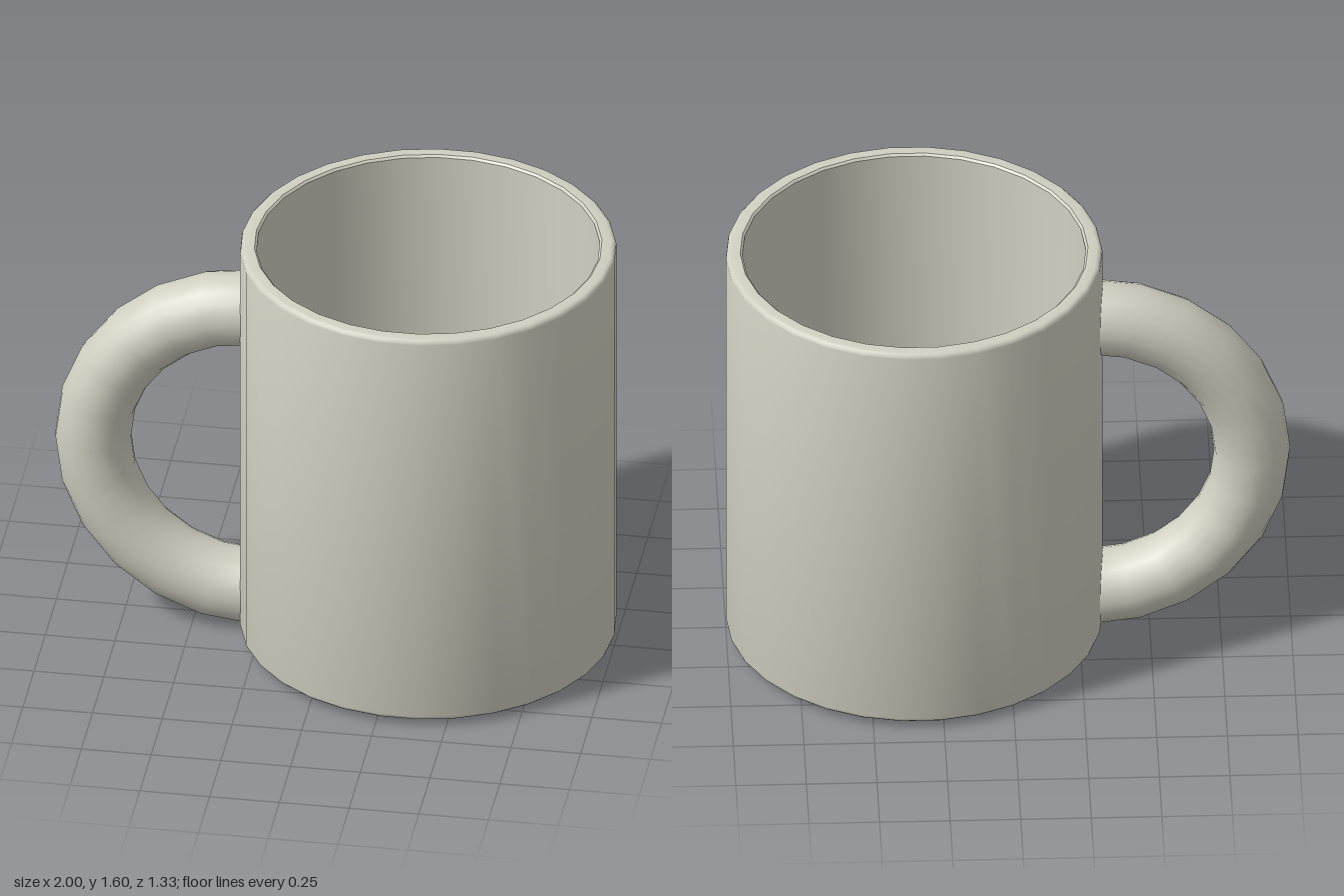
import * as THREE from 'three';
import { toCreasedNormals } from 'three/addons/utils/BufferGeometryUtils.js';

const SIDES = 30;
const OUTER = 0.667, INNER = 0.608, BOTTOM = 0.03, TOP = 1.6, FLOOR = 0.09;

// Rounded corner points, sweeping the angle from a0 to a1 (degrees)
function corner(cx, cy, r, a0, a1, steps = 3) {
  const pts = [];
  for (let i = 0; i <= steps; i++) {
    const a = THREE.MathUtils.degToRad(a0 + ((a1 - a0) * i) / steps);
    pts.push(new THREE.Vector2(cx + r * Math.cos(a), cy + r * Math.sin(a)));
  }
  return pts;
}

export function createModel() {
  const ceramic = new THREE.MeshStandardMaterial({ color: 0xd0d0c2 });
  ceramic.name = 'ceramic';
  const model = new THREE.Group();
  model.name = 'mug';

  function add(parent, name, geometry, x, y, z) {
    const mesh = new THREE.Mesh(geometry, ceramic);
    mesh.name = name;
    mesh.position.set(x, y, z);
    parent.add(mesh);
    return mesh;
  }

  // Body: hollow wall with softened foot and rim
  const body = new THREE.Group();
  body.name = 'body';
  body.position.x = 1 - OUTER;
  model.add(body);
  const b = 0.018;
  const profile = [
    new THREE.Vector2(0.62, BOTTOM),
    ...corner(OUTER - b, BOTTOM + b, b, -90, 0),
    ...corner(OUTER - b, TOP - b, b, 0, 90),
    new THREE.Vector2(INNER + 0.008, TOP),
    new THREE.Vector2(INNER, TOP - 0.008),
    new THREE.Vector2(INNER, FLOOR),
  ];
  const wall = new THREE.LatheGeometry(profile, SIDES, Math.PI / 2);
  add(body, 'wall', toCreasedNormals(wall, 0.6), 0, 0, 0);
  add(body, 'innerFloor', new THREE.CircleGeometry(INNER, SIDES).rotateX(-Math.PI / 2), 0, FLOOR, 0);
  add(body, 'base', new THREE.CircleGeometry(0.62, SIDES).rotateX(Math.PI / 2), 0, BOTTOM, 0);

  // Handle: half ring with capped ends sunk into the wall
  const R = 0.575, r = 0.135;
  const handle = new THREE.Group();
  handle.name = 'handle';
  handle.position.set(R + r - 1, 0.715, 0.018);
  model.add(handle);
  add(handle, 'handleRing', new THREE.TorusGeometry(R, r, 20, 12, Math.PI).rotateZ(Math.PI / 2), 0, 0, 0);
  for (const side of [1, -1]) {
    add(handle, 'handleEnd', new THREE.CircleGeometry(r, 20).rotateY(Math.PI / 2), 0, side * R, 0);
  }
  return model;
}
